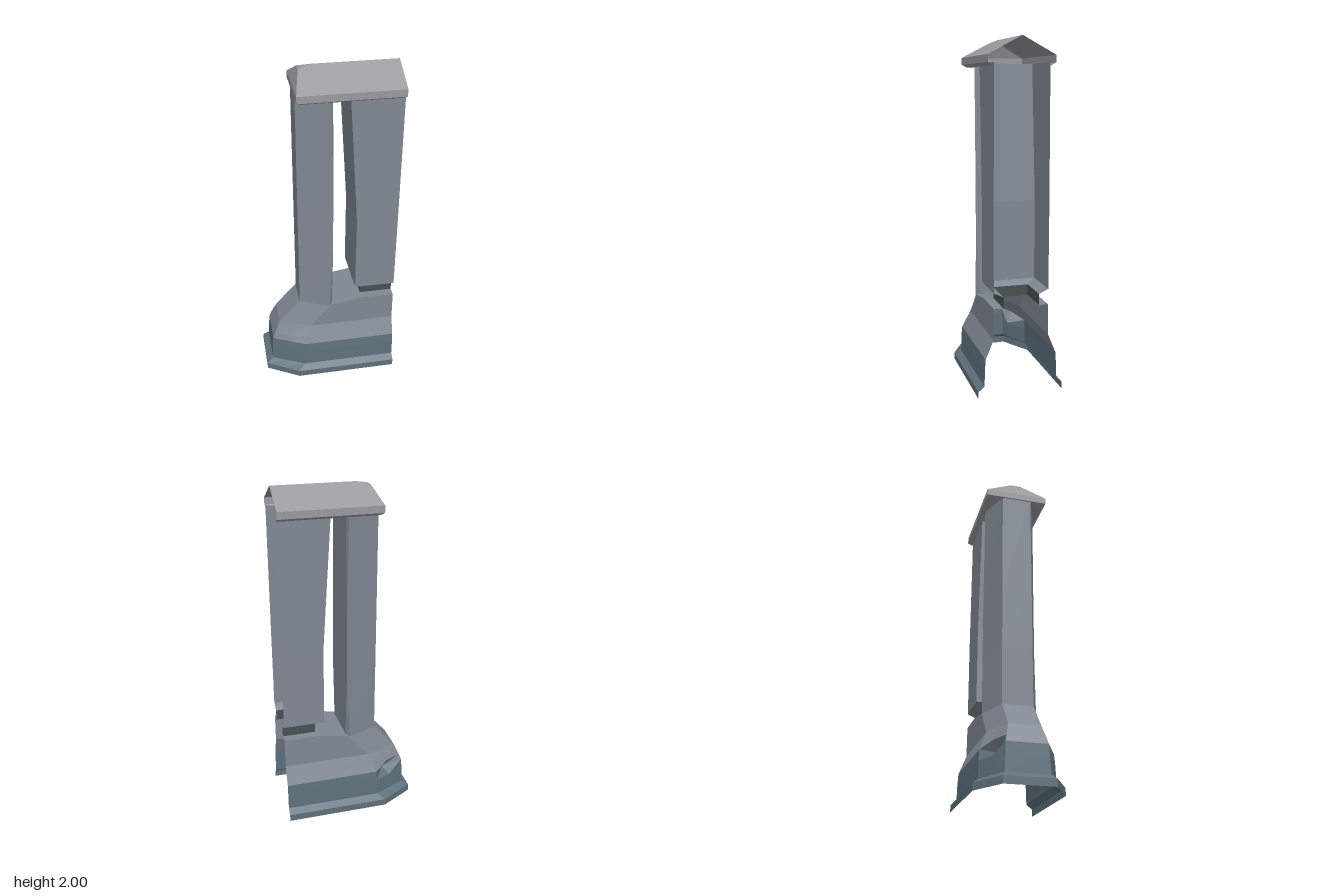
import * as THREE from 'three';

const END = 0.405; // open cut end of the wall
const mat = (color) => new THREE.MeshStandardMaterial({ color, flatShading: true, side: THREE.DoubleSide });

// Skin over rings. Each ring lists the front half [x, y, z] from the cut end to the
// pointed end; the back half is mirrored. 'closed' also joins the ring's two ends.
function loft(name, material, halves, closed = false, edit = null) {
  const rings = halves.map((half) => {
    const back = half.map(([x, y, z]) => [x, y, -z]).reverse();
    return [...half, ...back].map((p) => new THREE.Vector3(...p));
  });
  if (edit) edit(rings);
  const pos = [];
  const tri = (a, b, c) => {
    if (new THREE.Triangle(a, b, c).getArea() < 1e-7) return;
    for (const p of [a, b, c]) pos.push(p.x, p.y, p.z);
  };
  for (let r = 0; r + 1 < rings.length; r++) {
    const n = rings[r].length;
    for (let i = 0; i < (closed ? n : n - 1); i++) {
      const j = (i + 1) % n;
      const a = rings[r][i], b = rings[r][j], c = rings[r + 1][j], d = rings[r + 1][i];
      tri(b, a, d);
      tri(b, d, c);
    }
  }
  const geo = new THREE.BufferGeometry();
  geo.setAttribute('position', new THREE.Float32BufferAttribute(pos, 3));
  geo.computeVertexNormals();
  const mesh = new THREE.Mesh(geo, material);
  mesh.name = name;
  return mesh;
}

// Half plan of the footing: straight side, slanted corner face, blunt end
const plan = (y, cornerX, z, endX, endZ, farY = y) => [
  [END, farY, z], [0.2, farY, z], [cornerX, y, z],
  [(cornerX + endX) / 2, y, (z + endZ) / 2], [endX, y, endZ],
];

export function createModel() {
  const group = new THREE.Group();
  const stone = mat(0x818893);
  const plinthStone = mat(0x5e717d);
  const dark = mat(0x46514f);
  const roofStone = mat(0x9a9a9f);

  // Chipped shoulder on the back slanted face
  const chip = (ringIndex) => (rings) => {
    rings[ringIndex][6].add(new THREE.Vector3(0.03, -0.03, 0.05));
  };

  const shoulder = plan(0.23, -0.16, 0.208, -0.358, 0.115);
  group.add(loft('plinth', plinthStone, [
    plan(0, -0.21, 0.25, -0.405, 0.14),
    plan(0.042, -0.21, 0.25, -0.405, 0.14),
    plan(0.07, -0.168, 0.215, -0.367, 0.122),
    plan(0.17, -0.165, 0.212, -0.362, 0.118),
    shoulder,
  ], false, chip(4)));

  group.add(loft('slopedFooting', stone, [
    shoulder,
    plan(0.265, -0.15, 0.193, -0.345, 0.108),
    plan(0.34, -0.115, 0.162, -0.312, 0.09),
    plan(0.49, 0.01, 0.16, -0.18, 0.09, 0.52),
  ], false, chip(0)));

  // Top of the footing: sloping sill in the slot and ledges beside the neck
  group.add(loft('slotSill', stone, [[[0.01, 0.49, 0.16]], [[0.2, 0.52, 0.16]]]));
  group.add(loft('footingLedge', stone, [
    [[END, 0.52, 0.16], [0.2, 0.52, 0.16]],
    [[END, 0.52, 0.105], [0.205, 0.52, 0.105]],
  ]));

  // End post, wedge shaped in plan, its inner corners chamfered at both ends
  const post = (y, innerZ, cornerX) => [[0.02, y, innerZ], [cornerX, y, 0.16], [-0.178, y, 0.09]];
  group.add(loft('endPost', stone, [
    post(0.485, 0.13, 0), post(0.85, 0.158, 0.018), post(1.2, 0.158, 0.018), post(1.86, 0.13, 0.01),
  ], true));

  // Wall panel on a recessed neck
  const panel = (y, x, z) => [[END, y, z], [x, y, z]];
  group.add(loft('neck', dark, [panel(0.52, 0.205, 0.105), panel(0.585, 0.205, 0.105)]));
  group.add(loft('wallPanel', stone, [
    panel(0.585, 0.205, 0.105), panel(0.61, 0.16, 0.16),
    panel(1.08, 0.16, 0.16), panel(1.86, 0.11, 0.156),
  ]));

  // Coping roof: soffit lip, fascia, slopes and small hip
  const eave = (y, x, z) => [[END, y, z], [-0.07, y, z], [x, y, z]];
  group.add(loft('roof', roofStone, [
    eave(1.843, -0.165, 0.16),
    eave(1.86, -0.182, 0.19),
    eave(1.9, -0.182, 0.19),
    [[END, 2, 0], [-0.07, 2, 0], [-0.15, 1.985, 0.03]],
    [[END, 2, 0], [-0.07, 2, 0], [-0.07, 2, 0]],
  ]));

  return group;
}
